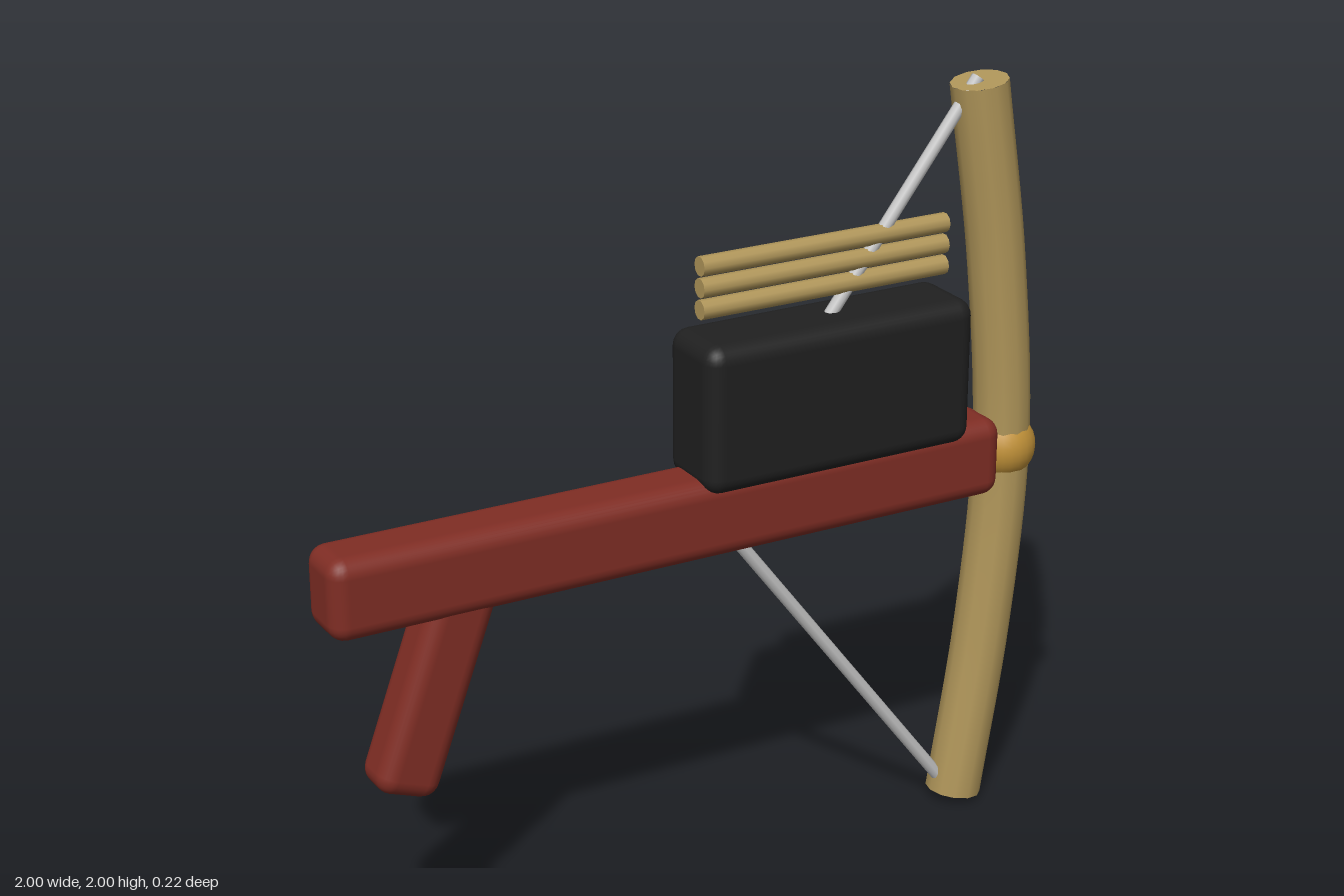
import * as THREE from 'three';
import { RoundedBoxGeometry } from 'three/addons/geometries/RoundedBoxGeometry.js';

const mat = (name, color) => {
  const m = new THREE.MeshStandardMaterial({ color });
  m.name = name;
  return m;
};

export function createModel() {
  const group = new THREE.Group();
  const red = mat('red lacquered wood', 0x7f2d24);
  const black = mat('black casing', 0x202020);
  const bamboo = mat('bamboo', 0xb0965a);
  const gold = mat('gold binding', 0xbf9038);
  const cord = mat('pale cord', 0xc4c4c4);

  const add = (name, geometry, material, x = 0, y = 0, z = 0) => {
    const mesh = new THREE.Mesh(geometry, material);
    mesh.name = name;
    mesh.position.set(x, y, z);
    group.add(mesh);
    return mesh;
  };

  // Stock, slanted grip and magazine
  add('stock', new RoundedBoxGeometry(1.86, 0.21, 0.17, 3, 0.045), red, -0.07, 1, 0);
  const grip = add('grip', new RoundedBoxGeometry(0.17, 0.6, 0.14, 3, 0.045), red, -0.722, 0.727, 0);
  grip.rotation.z = -THREE.MathUtils.degToRad(20);
  add('magazine', new RoundedBoxGeometry(0.765, 0.385, 0.22, 3, 0.045), black, 0.363, 1.263, 0);

  // Stacked bolts above the magazine
  for (let i = 0; i < 3; i++) {
    const bolt = add('bolt', new THREE.CylinderGeometry(0.025, 0.025, 0.7, 10), bamboo, 0.362, 1.523 + i * 0.055, 0);
    bolt.rotation.z = Math.PI / 2;
  }

  // Bow limb with closed ends
  const curve = new THREE.CatmullRomCurve3([
    [0.8, 0.017], [0.873, 0.5], [0.91, 1], [0.873, 1.5], [0.8, 1.983],
  ].map(([x, y]) => new THREE.Vector3(x, y, 0)));
  const radius = 0.074;
  add('bow', new THREE.TubeGeometry(curve, 32, radius, 12, false), bamboo);
  for (const t of [0, 1]) {
    const p = curve.getPointAt(t);
    const outward = curve.getTangentAt(t).multiplyScalar(t ? 1 : -1);
    const cap = add('bowEnd', new THREE.CircleGeometry(radius, 12), bamboo, p.x, p.y, p.z);
    cap.quaternion.setFromUnitVectors(new THREE.Vector3(0, 0, 1), outward);
  }

  // Binding where the bow meets the stock
  add('binding', new THREE.SphereGeometry(0.09, 24, 16), gold, 0.91, 1, 0);

  // Drawn string, one half to each bow end
  const nock = new THREE.Vector3(0.04, 1, 0);
  for (const y of [0.008, 1.992]) {
    const tip = new THREE.Vector3(0.795, y, 0);
    const dir = tip.clone().sub(nock);
    const string = add('string', new THREE.CylinderGeometry(0.017, 0.017, dir.length(), 8), cord);
    string.position.copy(nock).addScaledVector(dir, 0.5);
    string.quaternion.setFromUnitVectors(new THREE.Vector3(0, 1, 0), dir.normalize());
  }
  return group;
}
